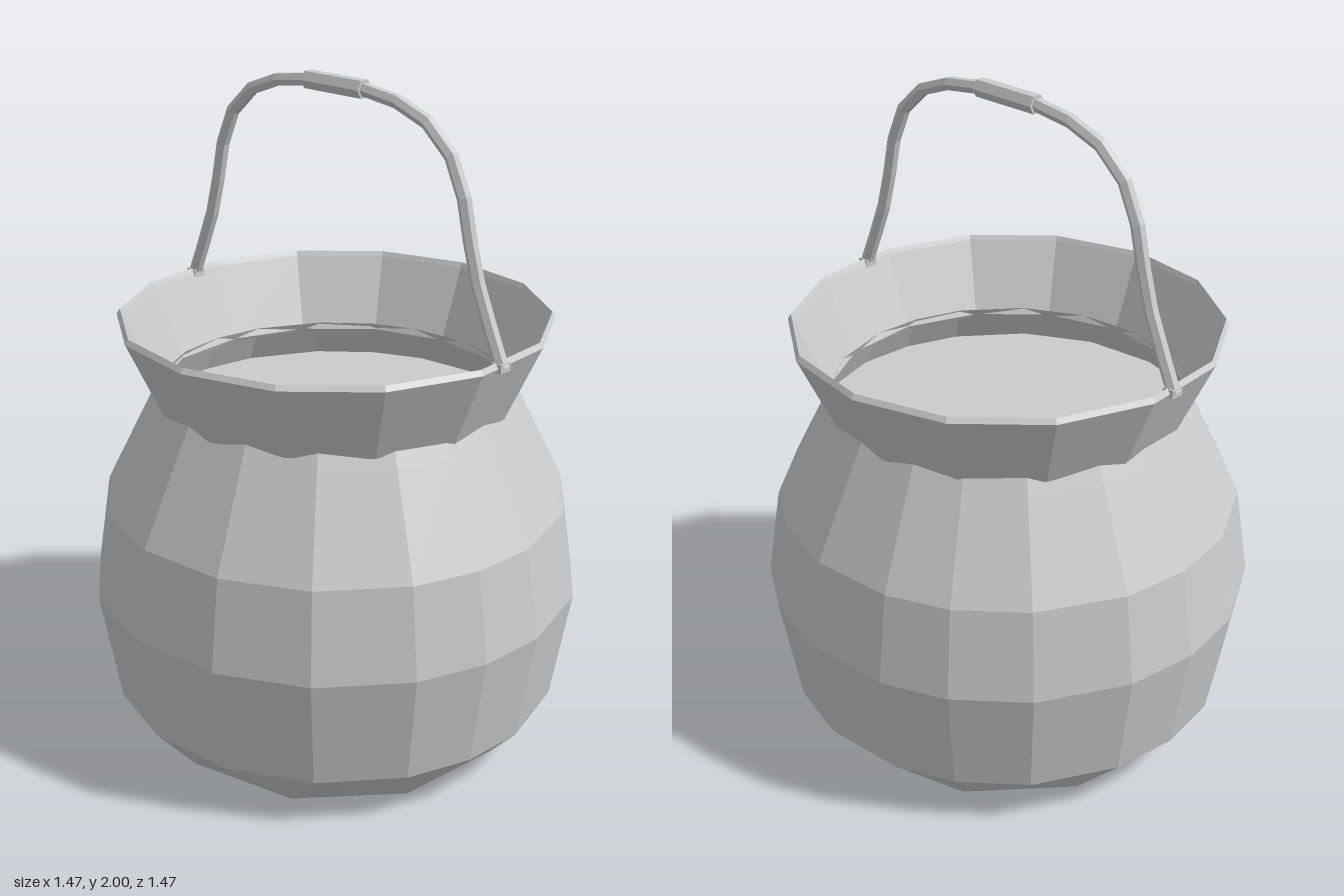
import * as THREE from 'three';

const RAD = Math.PI / 180;
const grey = () => new THREE.MeshStandardMaterial({ color: 0xcccccc, flatShading: true, side: THREE.DoubleSide });

// Slightly uneven facets around the body, in degrees from +x towards +z
const BODY_ANGLES = [-180, -163, -140.5, -122, -106, -85, -67, -50.5, -28, -5.4, 11, 28, 50.5, 72.6, 95.4, 117.6, 140, 163];
const evenAngles = (n, offset) => Array.from({ length: n }, (_, i) => -180 + offset + (i * 360) / n);

const ring = (angles, r, y) => angles.map((a) => ({ a, p: [r * Math.cos(a * RAD), y, r * Math.sin(a * RAD)] }));

// Joins two rings, which may have different numbers of corners, with a strip of triangles
function stitch(out, A, B) {
  const at = (R, i) => R[i % R.length].p;
  const angle = (R, i) => R[i % R.length].a + 360 * Math.floor(i / R.length);
  let i = 0, j = 0;
  while (i < A.length || j < B.length) {
    const stepA = j >= B.length ||
      (i < A.length && angle(A, i) + angle(A, i + 1) <= angle(B, j) + angle(B, j + 1));
    if (stepA) {
      out.push(...at(A, i), ...at(B, j), ...at(A, i + 1));
      i++;
    } else {
      out.push(...at(A, i), ...at(B, j), ...at(B, j + 1));
      j++;
    }
  }
}

// Fills a ring with a flat fan
function cap(out, R, up) {
  R.forEach((v, i) => {
    const n = R[(i + 1) % R.length];
    out.push(0, v.p[1], 0, ...(up ? n.p : v.p), ...(up ? v.p : n.p));
  });
}

function meshFrom(name, positions) {
  const g = new THREE.BufferGeometry();
  g.setAttribute('position', new THREE.Float32BufferAttribute(positions, 3));
  g.computeVertexNormals();
  const m = new THREE.Mesh(g, grey());
  m.name = name;
  return m;
}

function strips(name, rings, capFirst) {
  const out = [];
  for (let k = 0; k + 1 < rings.length; k++) stitch(out, rings[k], rings[k + 1]);
  if (capFirst) cap(out, rings[0], false);
  return meshFrom(name, out);
}

export function createModel() {
  const group = new THREE.Group();
  group.name = 'bucket';

  // Round belly on a ten-sided flat base
  group.add(strips('body', [
    ring(evenAngles(10, 23), 0.55, 0),
    ring(BODY_ANGLES, 0.68, 0.15),
    ring(BODY_ANGLES, 0.737, 0.49),
    ring(BODY_ANGLES, 0.695, 0.76),
    ring(BODY_ANGLES, 0.555, 1.04),
    ring(BODY_ANGLES, 0.525, 1.1),
  ], true));

  // Flared collar with a thin lip and an inner face
  const collar = evenAngles(14, 8);
  group.add(strips('collar', [
    ring(collar, 0.535, 1.07),
    ring(collar, 0.64, 1.3),
    ring(collar, 0.63, 1.315),
    ring(collar, 0.622, 1.3),
    ring(collar, 0.53, 1.08),
    ring(collar, 0.535, 1.07),
  ], false));

  // Flat contents just below the neck
  const fill = [];
  cap(fill, ring(BODY_ANGLES, 0.585, 0.98), true);
  group.add(meshFrom('contents', fill));

  // Bail handle arching over the opening
  const half = [[0.625, 1.295], [0.525, 1.53], [0.455, 1.79], [0.38, 1.89], [0.27, 1.945], [0.15, 1.968]];
  const mirrored = half.map(([x, y]) => [-x, y]);
  const path = [...mirrored, [0, 1.972], ...half.slice().reverse()]
    .map(([x, y]) => new THREE.Vector3(x, y, 0));
  const curve = new THREE.CatmullRomCurve3(path, false, 'centripetal');
  const handle = new THREE.Mesh(new THREE.TubeGeometry(curve, 18, 0.02, 6, false), grey());
  handle.name = 'handle';
  group.add(handle);

  // Grip in the middle of the handle
  const grip = new THREE.Mesh(new THREE.CylinderGeometry(0.028, 0.028, 0.22, 6), grey());
  grip.name = 'grip';
  grip.rotation.z = Math.PI / 2;
  grip.position.y = 1.972;
  group.add(grip);

  // Pins that hold the handle ends in the lip
  for (const side of [-1, 1]) {
    const pin = new THREE.Mesh(new THREE.BoxGeometry(0.035, 0.025, 0.04), grey());
    pin.name = side > 0 ? 'leftHandlePin' : 'rightHandlePin';
    pin.position.set(side * 0.62, 1.3, 0);
    group.add(pin);
  }
  return group;
}
